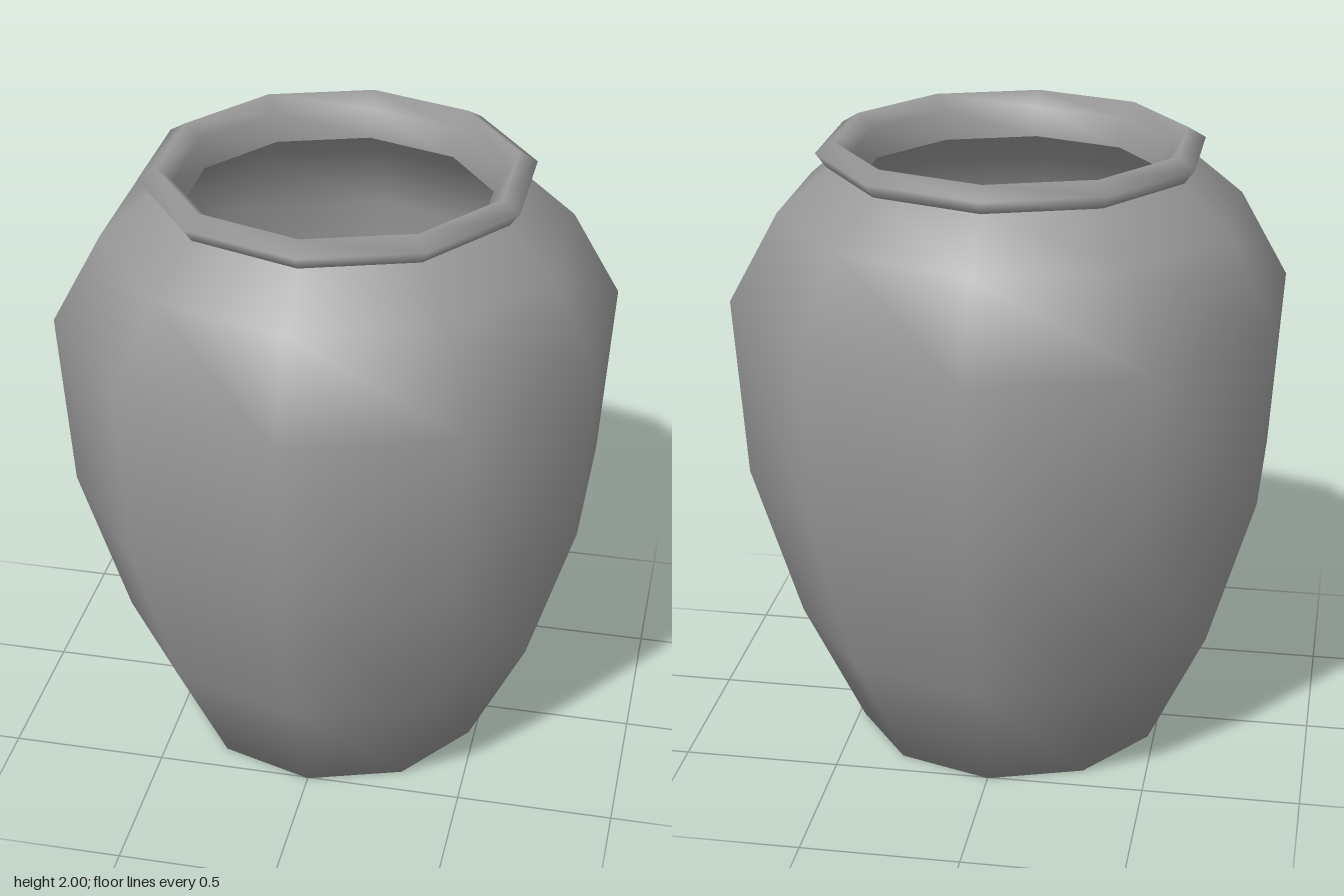
import * as THREE from 'three';

export function createModel() {
  const group = new THREE.Group();
  group.name = 'jar';
  const material = new THREE.MeshStandardMaterial({ color: 0x999999 });

  // Ten-sided, smooth-shaded lathe part from [radius, height] pairs
  function turned(name, profile) {
    const points = profile.map(([r, y]) => new THREE.Vector2(r, y));
    const mesh = new THREE.Mesh(new THREE.LatheGeometry(points, 10), material);
    mesh.name = name;
    group.add(mesh);
  }

  // base and outer wall up to the neck
  turned('outerWall', [
    [0, 0], [0.505, 0], [0.70, 0.41], [0.855, 0.92], [0.893, 1.50], [0.737, 1.78], [0.572, 1.92],
  ]);

  // rolled rim, overhanging the neck and lining the mouth
  turned('rim', [
    [0.545, 1.915], [0.58, 1.92], [0.613, 1.965], [0.555, 2.0], [0.505, 1.955], [0.49, 1.86],
  ]);

  // hollow inside, from the mouth down to the floor
  turned('innerWall', [
    [0.49, 1.86], [0.66, 1.74], [0.815, 1.48], [0.78, 0.93], [0.63, 0.44], [0.43, 0.07], [0, 0.07],
  ]);

  return group;
}
